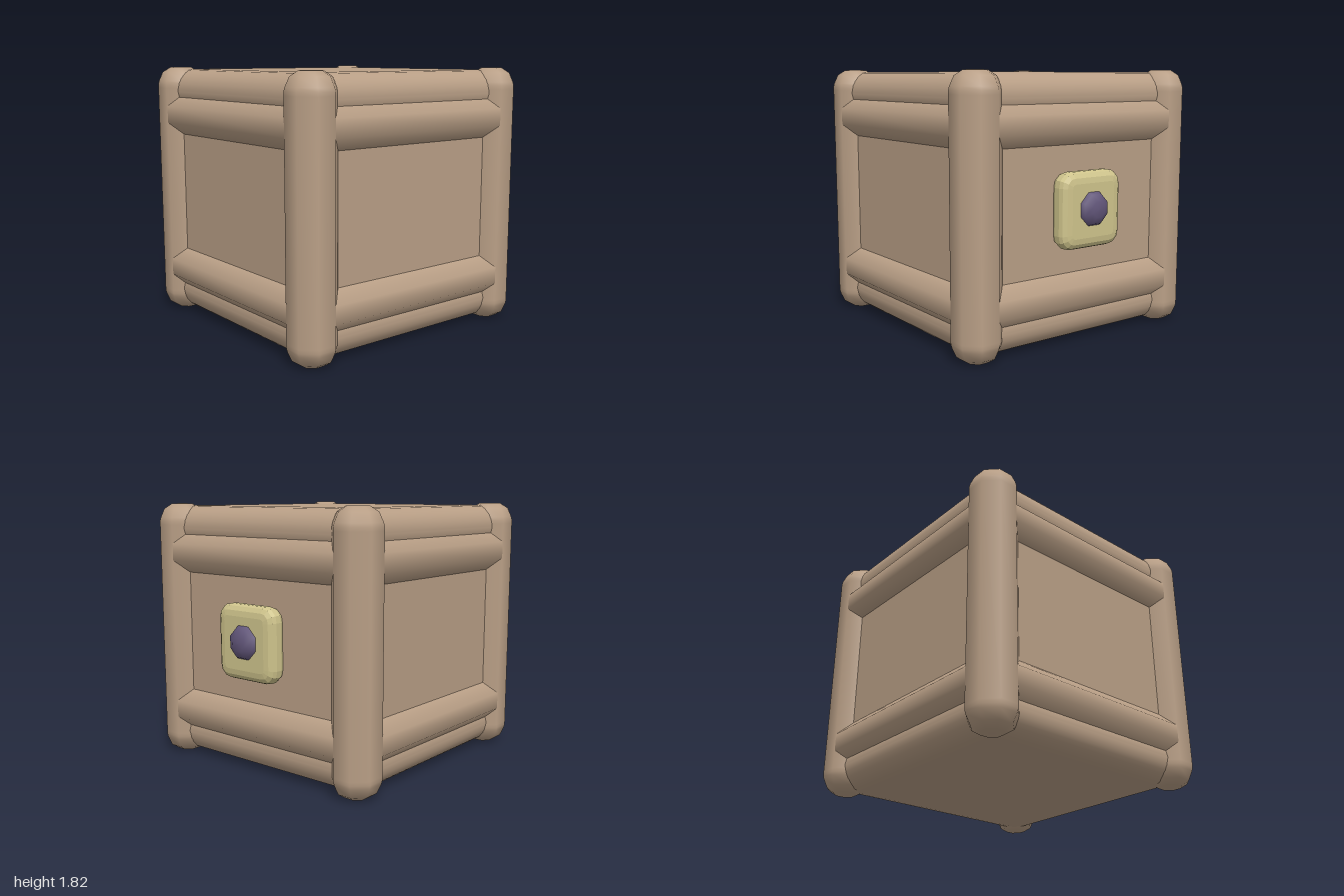
import * as THREE from 'three';
import { RoundedBoxGeometry } from 'three/addons/geometries/RoundedBoxGeometry.js';

const MID_Z = 0.045; // crate centre; the knob at the back shifts it forward
const MID_Y = 0.91;

function material(name, color) {
  const m = new THREE.MeshStandardMaterial({ color });
  m.name = name;
  return m;
}

export function createModel() {
  const wood = material('wood', 0xb99f86);
  const brass = material('pale brass', 0xcfc48c);
  const violet = material('violet', 0x62567a);

  const model = new THREE.Group();
  model.name = 'crate';
  const crate = new THREE.Group();
  crate.name = 'crateBody';
  crate.position.set(0, MID_Y, MID_Z);
  model.add(crate);

  const add = (name, geometry, mat, x = 0, y = 0, z = 0) => {
    const mesh = new THREE.Mesh(geometry, mat);
    mesh.name = name;
    mesh.position.set(x, y, z);
    crate.add(mesh);
    return mesh;
  };

  // Recessed side panels
  add('sidePanels', new THREE.BoxGeometry(1.74, 1.4, 1.74), wood);

  // Soft-edged lid and base
  const slab = new RoundedBoxGeometry(1.79, 0.31, 1.79, 3, 0.15);
  add('lid', slab, wood, 0, 0.74, 0);
  add('base', slab, wood, 0, -0.74, 0);

  // Eight-sided corner posts with domed ends
  const k = 1 / Math.cos(Math.PI / 8); // flat-to-flat radius to corner radius
  const end = [[0, 0.91], [0.07, 0.908], [0.122, 0.873], [0.148, 0.81], [0.154, 0.785], [0.154, 0.76]];
  const profile = [
    ...end.map(([r, y]) => new THREE.Vector2(r * k, -y)),
    ...end.slice().reverse().map(([r, y]) => new THREE.Vector2(r * k, y)),
  ];
  const post = new THREE.LatheGeometry(profile, 8, Math.PI / 8);
  for (const x of [-0.801, 0.801]) {
    for (const z of [-0.801, 0.801]) add('cornerPost', post, wood, x, 0, z);
  }

  // Eight-sided rails, upper and lower on each side
  const rail = new THREE.CylinderGeometry(0.145 * k, 0.145 * k, 1.6, 8, 1, false, Math.PI / 8);
  rail.rotateZ(Math.PI / 2);
  for (const y of [-0.57, 0.57]) {
    for (let i = 0; i < 4; i++) {
      const a = (i * Math.PI) / 2;
      const r = add('rail', rail, wood, Math.sin(a) * 0.808, y, Math.cos(a) * 0.808);
      r.rotation.y = a;
    }
  }

  // Bevelled lock plate on the back
  const h = 0.18, c = 0.03;
  const square = new THREE.Shape();
  square.moveTo(-h + c, -h);
  square.lineTo(h - c, -h);
  square.quadraticCurveTo(h, -h, h, -h + c);
  square.lineTo(h, h - c);
  square.quadraticCurveTo(h, h, h - c, h);
  square.lineTo(-h + c, h);
  square.quadraticCurveTo(-h, h, -h, h - c);
  square.lineTo(-h, -h + c);
  square.quadraticCurveTo(-h, -h, -h + c, -h);
  const plate = new THREE.ExtrudeGeometry(square, {
    depth: 0.04, bevelEnabled: true, bevelSize: 0.075, bevelThickness: 0.05,
    bevelSegments: 3, curveSegments: 3,
  });
  add('lockPlate', plate, brass, 0, 0, -0.94);

  // Faceted round knob
  const knobProfile = [[0.12, 0], [0.105, 0.027], [0.055, 0.053], [0, 0.055]]
    .map(([r, y]) => new THREE.Vector2(r, y));
  const knob = new THREE.LatheGeometry(knobProfile, 8, Math.PI / 8);
  knob.rotateX(-Math.PI / 2);
  add('knob', knob, violet, 0, 0.01, -0.99);

  return model;
}
